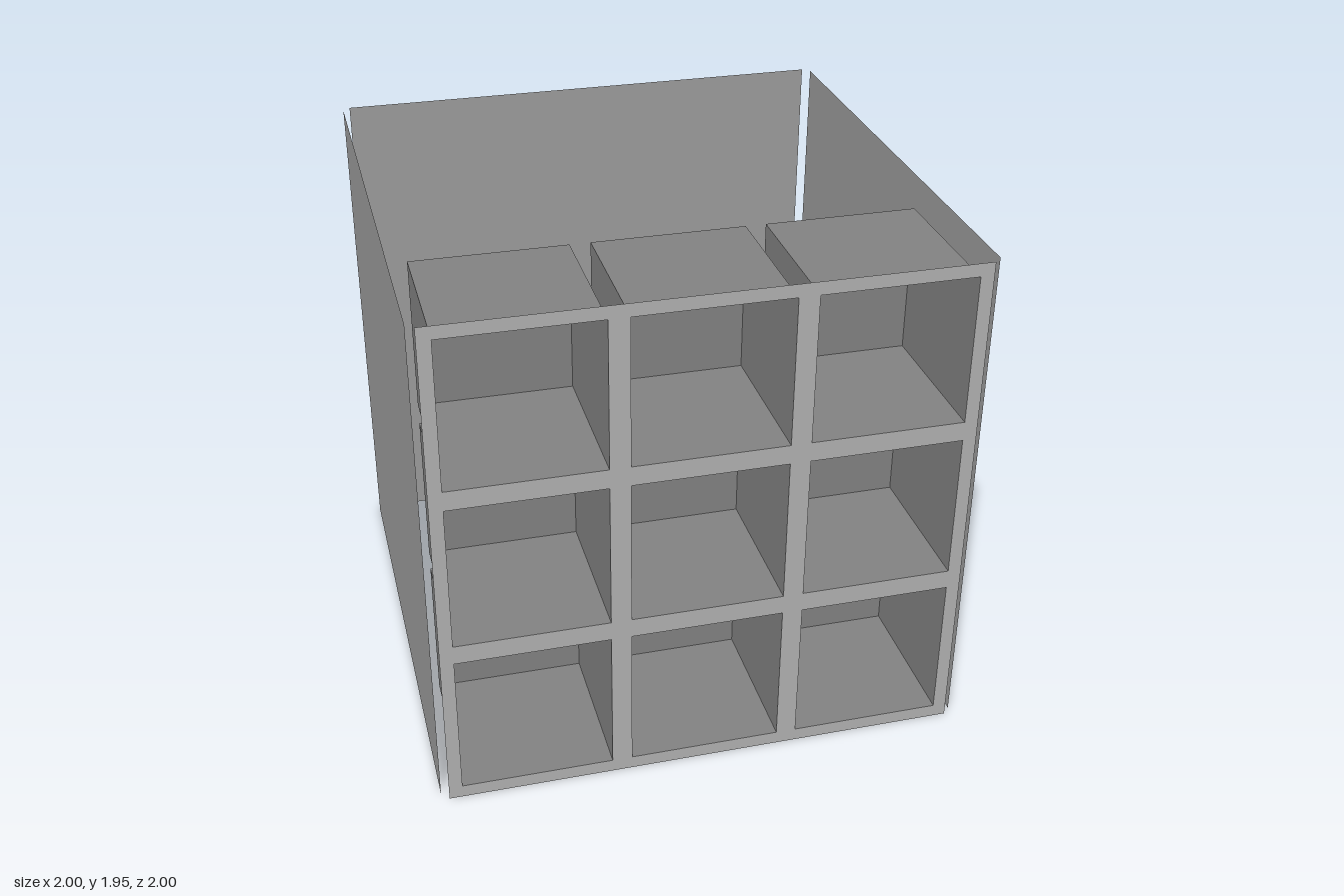
import * as THREE from 'three';

const SIZE = 1.945;   // width and height of each panel
const CELL = 0.565;   // opening of each cubby
const PITCH = 0.64;   // spacing between cubby centres
const DEPTH = 0.588;  // depth of each cubby
const HALF = 1;       // panels stand this far from the centre

export function createModel() {
  const group = new THREE.Group();
  const paint = (color) => new THREE.MeshStandardMaterial({ color, side: THREE.DoubleSide });
  const frontPaint = paint(0xb0b0b0);
  const wallPaint = paint(0x9c9c9c);
  const cubbyPaint = paint(0x828282);

  const add = (name, geometry, material, x, y, z, turn = 0) => {
    const mesh = new THREE.Mesh(geometry, material);
    mesh.name = name;
    mesh.position.set(x, y, z);
    mesh.rotation.y = turn;
    group.add(mesh);
  };

  const square = (PathType, cx, cy, size) => {
    const h = size / 2;
    return new PathType([[-h, -h], [h, -h], [h, h], [-h, h]]
      .map(([x, y]) => new THREE.Vector2(cx + x, cy + y)));
  };

  // Thin back and side panels, with narrow gaps at the corners
  const panel = new THREE.PlaneGeometry(SIZE, SIZE);
  const midY = SIZE / 2;
  add('backPanel', panel, wallPaint, 0, midY, -HALF, Math.PI);
  add('leftPanel', panel, wallPaint, HALF, midY, 0, Math.PI / 2);
  add('rightPanel', panel, wallPaint, -HALF, midY, 0, -Math.PI / 2);

  // Cubby: a box without its front face
  const cubby = new THREE.BoxGeometry(CELL, CELL, DEPTH);
  const index = Array.from(cubby.index.array);
  index.splice(24, 6);
  cubby.setIndex(index);
  cubby.clearGroups();

  // Front panel with a 3 x 3 grid of openings, a cubby behind each
  const front = square(THREE.Shape, 0, 0, SIZE);
  for (let row = -1; row <= 1; row++) {
    for (let col = -1; col <= 1; col++) {
      const x = col * PITCH, y = row * PITCH;
      front.holes.push(square(THREE.Path, x, y, CELL));
      add('cubby', cubby, cubbyPaint, x, midY + y, HALF - DEPTH / 2);
    }
  }
  add('frontPanel', new THREE.ShapeGeometry(front), frontPaint, 0, midY, HALF);

  return group;
}
